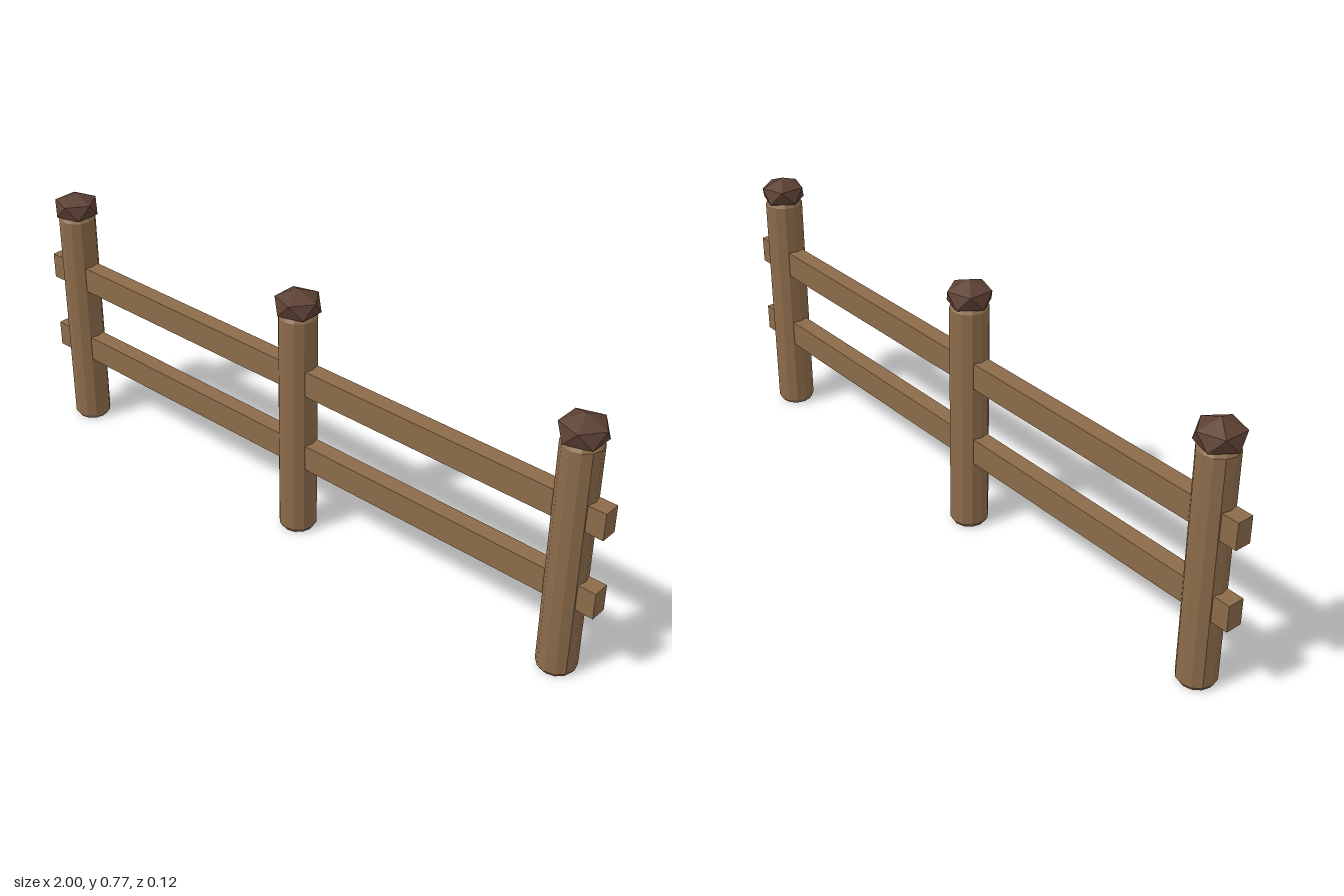
import * as THREE from 'three';

const wood = new THREE.MeshStandardMaterial({ color: 0x8b6b4a, flatShading: true });
const darkWood = new THREE.MeshStandardMaterial({ color: 0x5c4033, flatShading: true });

function addMesh(parent, name, geometry, material, y) {
  const mesh = new THREE.Mesh(geometry, material);
  mesh.name = name;
  mesh.position.y = y;
  parent.add(mesh);
  return mesh;
}

// Icosahedron standing on a point, from a point, two staggered rings and a point
function capGeometry(ringRadius, halfHeight) {
  const ring = (y, turn) => Array.from({ length: 5 }, (_, i) => {
    const a = ((i + turn) * Math.PI * 2) / 5;
    return [ringRadius * Math.cos(a), y, ringRadius * Math.sin(a)];
  });
  const upper = ring(halfHeight * 0.447, 0);
  const lower = ring(-halfHeight * 0.447, 0.5);
  const top = [0, halfHeight, 0], bottom = [0, -halfHeight, 0];
  const points = [];
  for (let i = 0; i < 5; i++) {
    const j = (i + 1) % 5;
    points.push(top, upper[j], upper[i]);
    points.push(upper[i], upper[j], lower[i]);
    points.push(lower[i], upper[j], lower[j]);
    points.push(bottom, lower[i], lower[j]);
  }
  const geometry = new THREE.BufferGeometry();
  geometry.setAttribute('position', new THREE.Float32BufferAttribute(points.flat(), 3));
  geometry.computeVertexNormals();
  return geometry;
}

export function createModel() {
  const fence = new THREE.Group();
  fence.name = 'fence';

  // Round post with chamfered ends
  const profile = [[0, 0], [0.047, 0], [0.055, 0.012], [0.055, 0.688], [0.047, 0.7], [0, 0.7]];
  const postGeometry = new THREE.LatheGeometry(profile.map(([r, y]) => new THREE.Vector2(r, y)), 12);
  const cap = capGeometry(0.063, 0.047);
  for (const [name, x] of [['rightPost', -0.9], ['middlePost', 0], ['leftPost', 0.9]]) {
    const post = new THREE.Group();
    post.name = name;
    post.position.x = x;
    addMesh(post, 'postShaft', postGeometry, wood, 0);
    addMesh(post, 'postCap', cap, darkWood, 0.721);
    fence.add(post);
  }

  // Horizontal rails running through the posts
  const railGeometry = new THREE.BoxGeometry(2, 0.078, 0.049);
  addMesh(fence, 'lowerRail', railGeometry, wood, 0.261);
  addMesh(fence, 'upperRail', railGeometry, wood, 0.501);

  return fence;
}
